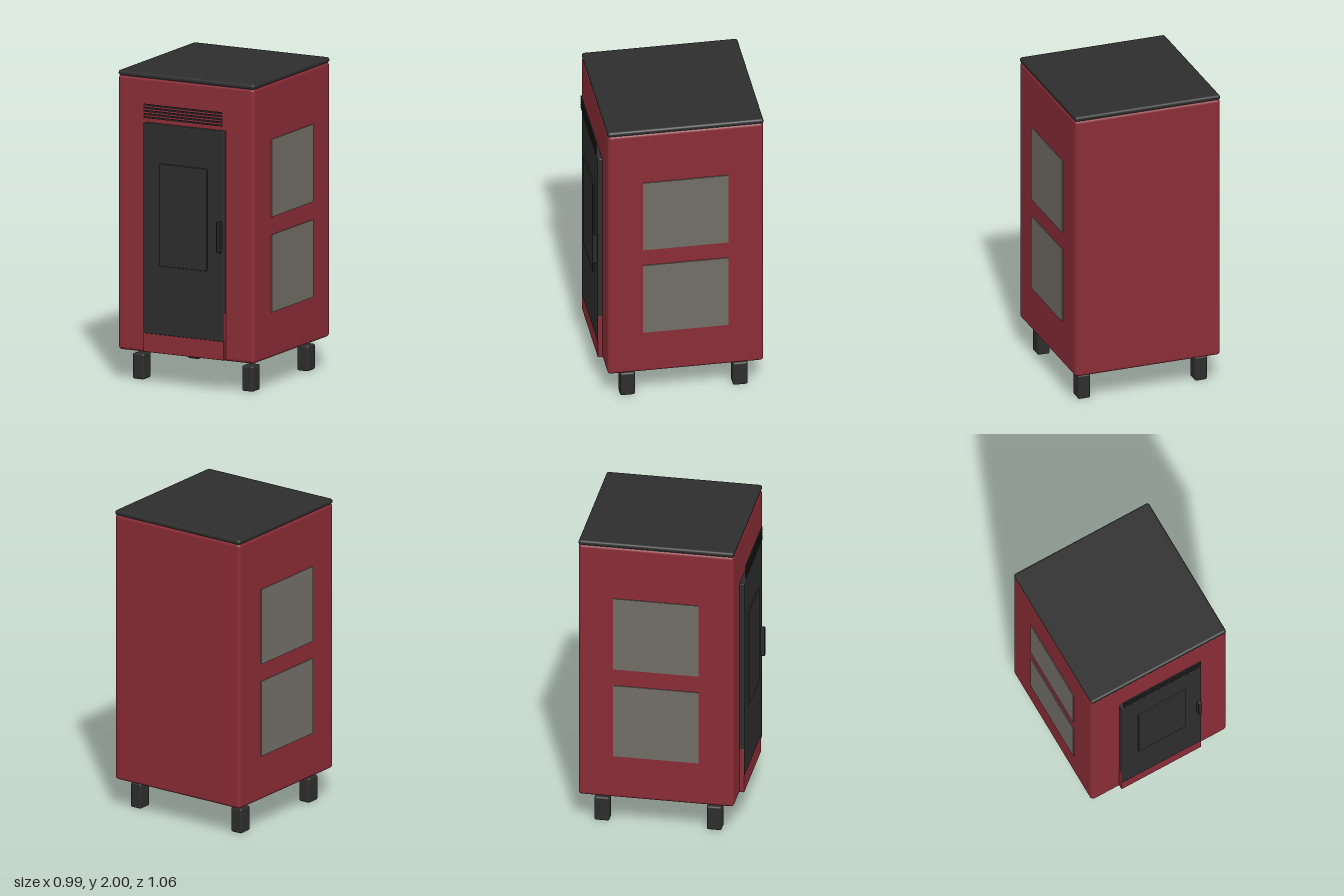
import * as THREE from 'three';
import { RoundedBoxGeometry } from 'three/addons/geometries/RoundedBoxGeometry.js';

const material = (name, color) => {
  const m = new THREE.MeshStandardMaterial({ color });
  m.name = name;
  return m;
};

export function createModel() {
  const group = new THREE.Group();
  const red = material('red enamel', 0x8a2c36);
  const dark = material('dark iron', 0x2d2d2d);
  const stone = material('grey stone', 0x726d66);

  // Rounded box given by its lower and upper limits on each axis
  function box(name, mat, [x0, x1], [y0, y1], [z0, z1], radius) {
    const w = x1 - x0, h = y1 - y0, d = z1 - z0;
    const geometry = radius
      ? new RoundedBoxGeometry(w, h, d, 3, radius)
      : new THREE.BoxGeometry(w, h, d);
    const mesh = new THREE.Mesh(geometry, mat);
    mesh.name = name;
    mesh.position.set((x0 + x1) / 2, (y0 + y1) / 2, (z0 + z1) / 2);
    group.add(mesh);
  }

  // Cabinet and top plate
  box('body', red, [-0.49, 0.49], [0.2, 1.972], [-0.528, 0.47], 0.022);
  box('topPlate', dark, [-0.49, 0.49], [1.966, 2], [-0.528, 0.47], 0.015);

  // Door, lower panel, window and handle
  box('door', dark, [-0.289, 0.289], [0.33, 1.685], [0.44, 0.503], 0.006);
  box('lowerPanel', red, [-0.29, 0.29], [0.21, 0.515], [0.44, 0.5], 0.004);
  box('doorWindow', dark, [-0.172, 0.172], [0.775, 1.435], [0.495, 0.513], 0.004);
  box('handle', dark, [0.253, 0.278], [0.905, 1.105], [0.5, 0.53], 0.005);

  // Air vent slats standing in front of the cabinet
  for (let i = 0; i < 5; i++) {
    const y = 1.725 + i * 0.02;
    box('ventSlat', dark, [-0.282, 0.282], [y - 0.005, y + 0.005], [0.503, 0.511]);
  }

  for (const side of [-1, 1]) {
    // Two stone panels on each flank
    const x = side * 0.4915;
    for (const y of [0.495, 1.11]) {
      box('sidePanel', stone, [x - 0.0045, x + 0.0045], [y, y + 0.5], [-0.302, 0.245]);
    }
    // Feet
    for (const z of [0.333, -0.388]) {
      box('foot', dark, [side * 0.394 - 0.041, side * 0.394 + 0.041], [0, 0.165], [z - 0.048, z + 0.048], 0.012);
    }
  }

  return group;
}
